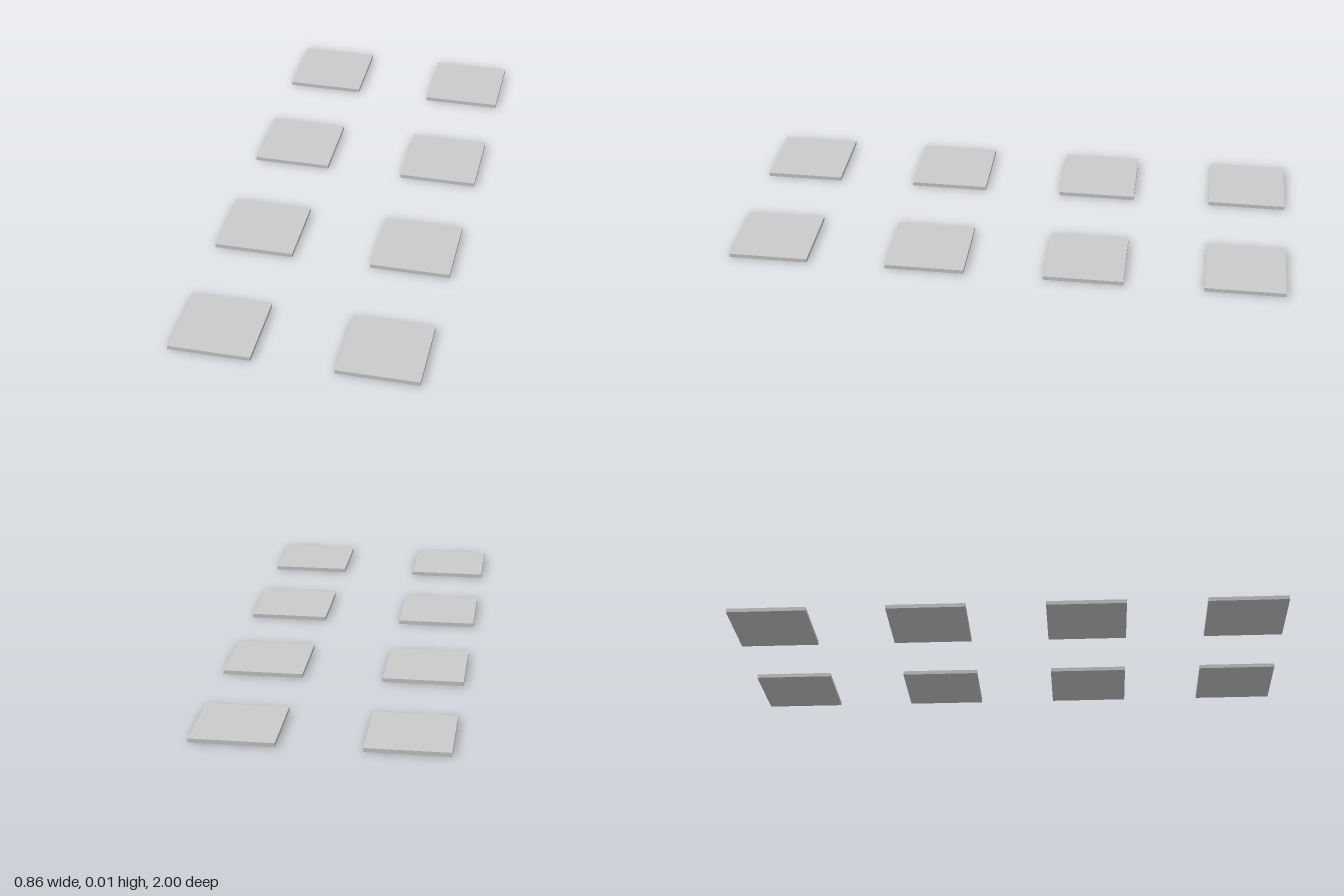
import * as THREE from 'three';

export function createModel() {
  const group = new THREE.Group();
  group.name = 'slabs';

  const size = 2 / 7;      // side of each square slab
  const pitch = 2 * size;  // gaps are as wide as the slabs
  const thickness = size / 20;
  const columns = 2, rows = 4;

  const geometry = new THREE.BoxGeometry(size, thickness, size);
  const material = new THREE.MeshStandardMaterial({ color: 0xcccccc });

  // Grid of thin square slabs lying on the ground
  for (let row = 0; row < rows; row++) {
    for (let column = 0; column < columns; column++) {
      const slab = new THREE.Mesh(geometry, material);
      slab.name = `slabRow${row + 1}Column${column + 1}`;
      slab.position.set(
        (column - (columns - 1) / 2) * pitch,
        thickness / 2,
        (row - (rows - 1) / 2) * pitch
      );
      group.add(slab);
    }
  }
  return group;
}
